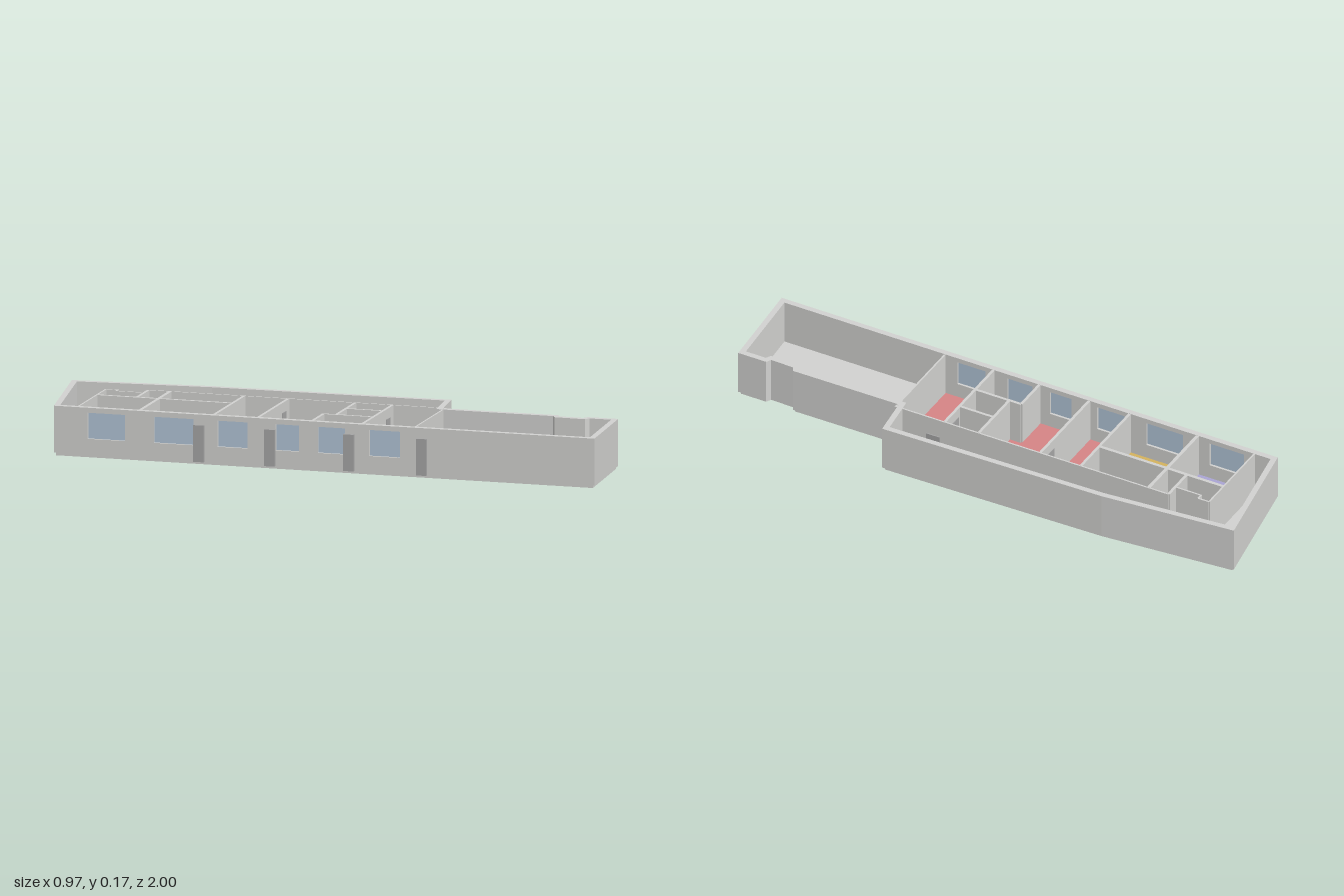
import * as THREE from 'three';

const mat = (name, color, opts = {}) => {
  const m = new THREE.MeshStandardMaterial({ color, ...opts });
  m.name = name;
  return m;
};

export function createModel() {
  const model = new THREE.Group();
  model.name = 'floorPlan';
  const M = {
    wall: mat('wallGrey', 0xd2d2d0),
    door: mat('doorGrey', 0xa6a6a6),
    glass: mat('windowBlue', 0xb2c5d8),
    red: mat('roomRed', 0xd68486),
    purple: mat('roomPurple', 0xaaa5d4),
    gold: mat('roomGold', 0xd4b25e),
    tan: mat('roomTan', 0xd6c198),
    blue: mat('roomBlue', 0xb6c6d2),
  };
  const FLOOR = 0.01, TOP = 0.17, T = 0.02;

  // Upright prism over a plan outline of [x, z] points
  function prism(name, pts, y0, y1, material) {
    const shape = new THREE.Shape(pts.map(([x, z]) => new THREE.Vector2(x, -z)));
    const geo = new THREE.ExtrudeGeometry(shape, { depth: y1 - y0, bevelEnabled: false });
    geo.rotateX(-Math.PI / 2).translate(0, y0, 0);
    const mesh = new THREE.Mesh(geo, material);
    mesh.name = name;
    model.add(mesh);
  }

  // Outer outline of the building
  const outline = [
    [-0.10, -1.0], [-0.486, -0.78], [0.167, 0.998], [0.484, 0.855],
    [0.447, 0.755], [0.427, 0.752], [0.40, 0.672], [0.413, 0.657],
    [0.272, 0.28], [0.405, 0.212], [0.105, -0.56],
  ];
  const n = outline.length;

  // Mitred inset of the outline
  function inset(d) {
    const normals = outline.map((p, i) => {
      const q = outline[(i + 1) % n];
      const l = Math.hypot(q[0] - p[0], q[1] - p[1]);
      return [(q[1] - p[1]) / l, -(q[0] - p[0]) / l];
    });
    return outline.map((p, i) => {
      const a = normals[(i + n - 1) % n], b = normals[i];
      const k = d / (1 + a[0] * b[0] + a[1] * b[1]);
      return [p[0] + (a[0] + b[0]) * k, p[1] + (a[1] + b[1]) * k];
    });
  }

  // Base slab and outer walls; edge 1 holds the windows
  prism('baseSlab', inset(0.007), 0, FLOOR, M.wall);
  const inner = inset(T);
  for (let i = 0; i < n; i++) {
    if (i === 1) continue;
    const j = (i + 1) % n;
    prism('outerWall', [outline[i], outline[j], inner[j], inner[i]], FLOOR, TOP, M.wall);
  }

  // Building-aligned frame: s runs along the window wall, w across the building
  const [B, C] = [outline[1], outline[2]];
  const len = Math.hypot(C[0] - B[0], C[1] - B[1]);
  const dx = (C[0] - B[0]) / len, dz = (C[1] - B[1]) / len;
  const at = (s, w) => [B[0] + s * dx + w * dz, B[1] + s * dz - w * dx];
  const block = (name, s0, s1, w0, w1, y0, y1, material) =>
    prism(name, [at(s0, w0), at(s1, w0), at(s1, w1), at(s0, w1)], y0, y1, material);

  // Window wall: solid stretches, sills, lintels and recessed glass
  const windows = [
    [-0.445, -0.40], [-0.365, -0.317], [-0.288, -0.252],
    [-0.218, -0.19], [-0.167, -0.134], [-0.105, -0.068],
  ].map((r) => r.map((x) => (x - B[0]) / dx));
  let from = B, fromIn = inner[1];
  for (const [s0, s1] of windows) {
    prism('windowWall', [from, at(s0, 0), at(s0, T), fromIn], FLOOR, TOP, M.wall);
    block('windowSill', s0, s1, 0, T, FLOOR, 0.064, M.wall);
    block('windowLintel', s0, s1, 0, T, 0.153, TOP, M.wall);
    block('windowGlass', s0, s1, 0.008, 0.012, 0.064, 0.153, M.glass);
    from = at(s1, 0);
    fromIn = at(s1, T);
  }
  prism('windowWall', [from, C, inner[2], fromIn], FLOOR, TOP, M.wall);

  // Door leaves standing against the window wall
  for (const s of [0.51, 0.758, 1.035, 1.29])
    block('outerDoor', s - 0.018, s + 0.018, -0.011, 0.001, FLOOR, 0.135, M.door);

  // Partition walls running across: [s, w0, w1, thickness]
  const L = 0.015, R = 0.358;
  const across = [
    [0.08, L, 0.331, 0.006], [0.122, 0.309, 0.331, 0.006], [0.22, 0.23, R, 0.01],
    [0.296, L, R, 0.012], [0.555, L, R, 0.01], [0.71, L, R, 0.01],
    [0.90, L, 0.145, 0.01], [0.945, 0.145, R, 0.01], [1.075, L, R, 0.01],
    [1.26, L, R, 0.006],
  ];
  for (const [s, w0, w1, t] of across)
    block('crossPartition', s - t / 2, s + t / 2, w0, w1, FLOOR, TOP - 0.001, M.wall);

  // Partition walls running along: [w, s0, s1, thickness]
  const along = [
    [0.23, 0.08, 0.555, 0.012], [0.331, 0.08, 0.122, 0.006], [0.311, 0.122, 0.22, 0.006],
    [R, 0.22, 1.265, 0.006], [0.145, 0.90, 1.075, 0.01], [0.254, 0.945, 1.075, 0.01],
  ];
  for (const [w, s0, s1, t] of along)
    block('longPartition', s0, s1, w - t / 2, w + t / 2, FLOOR, TOP - 0.0015, M.wall);

  // Inner doors
  block('innerDoor', 0.703, 0.717, 0.27, 0.315, FLOOR, 0.135, M.door);
  block('innerDoor', 1.068, 1.082, 0.27, 0.315, FLOOR, 0.135, M.door);
  block('corridorDoor', 1.07, 1.12, 0.40, 0.404, FLOOR, 0.135, M.door);

  // Coloured room floors: [name, s0, s1, w0, w1, material]
  const rooms = [
    ['purpleRoomFloor', 0.08, 0.296, 0.012, 0.23, M.purple],
    ['blueRoomFloor', 0.08, 0.122, 0.23, 0.331, M.blue],
    ['blueRoomFloor', 0.122, 0.22, 0.23, 0.311, M.blue],
    ['goldRoomFloor', 0.296, 0.555, 0.012, 0.23, M.gold],
    ['tanRoomFloor', 0.296, 0.555, 0.23, R, M.tan],
    ['redRoomsFloor', 0.555, 1.26, 0.012, R, M.red],
  ];
  for (const [name, s0, s1, w0, w1, m] of rooms)
    block(name, s0, s1, w0, w1, FLOOR, FLOOR + 0.002, m);

  return model;
}
